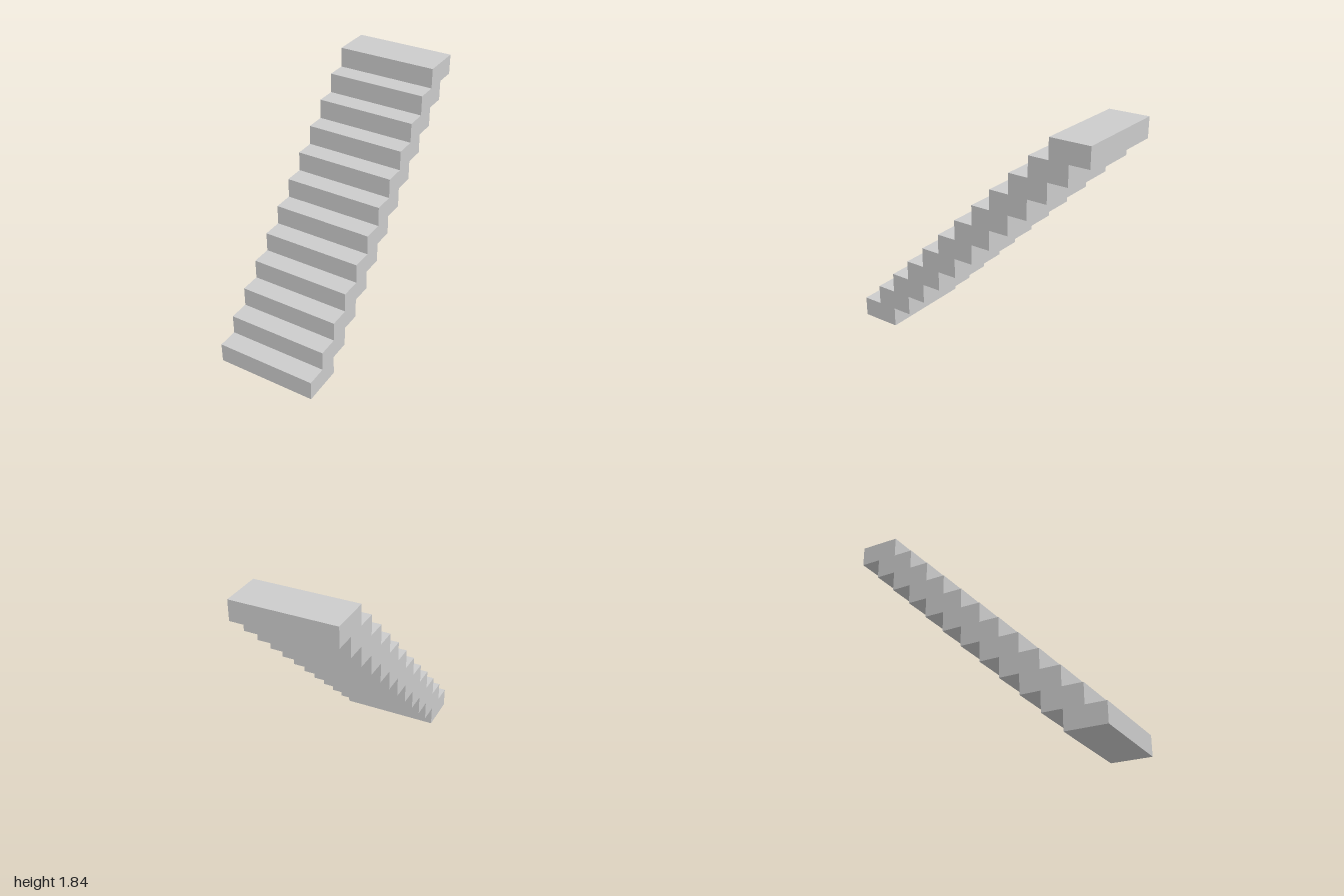
import * as THREE from 'three';

const STEPS = 12;
const WIDTH = 0.765;
const RISE = 1.835 / STEPS;
const DEPTH = 0.305;
const RUN = (2 - DEPTH) / (STEPS - 1);

export function createModel() {
  const staircase = new THREE.Group();
  staircase.name = 'staircase';
  const material = new THREE.MeshStandardMaterial({ color: 0xcccccc });
  const block = new THREE.BoxGeometry(WIDTH, RISE, DEPTH);

  // Solid step blocks, each resting on the back half of the one below
  for (let i = 0; i < STEPS; i++) {
    const step = new THREE.Mesh(block, material);
    step.name = `step${i + 1}`;
    step.position.set(0, RISE * (i + 0.5), 1 - DEPTH / 2 - RUN * i);
    staircase.add(step);
  }
  return staircase;
}
